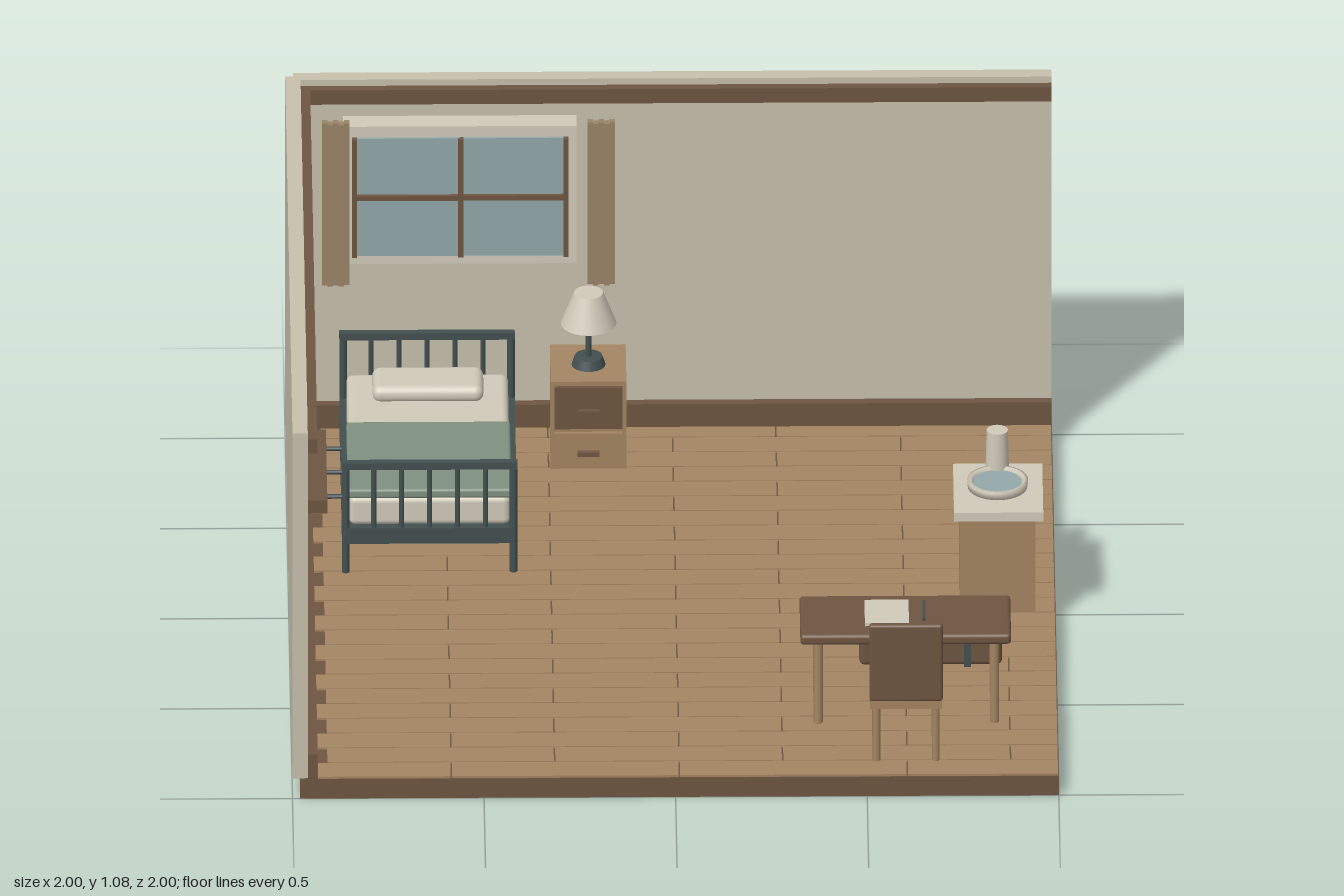
import * as THREE from 'three';
import { RoundedBoxGeometry } from 'three/addons/geometries/RoundedBoxGeometry.js';

const mat = (color) => new THREE.MeshStandardMaterial({ color });
const WALL = mat(0xc6c0ab), CREAM = mat(0xd0cab9), DARK = mat(0x6e5541), TAN = mat(0xa38562);
const METAL = mat(0x435050), GREEN = mat(0x7f9180), GLASS = mat(0x93a7aa), CURTAIN = mat(0x9a8467);
const FLOOR = 0.063;

function add(parent, name, geometry, material, x = 0, y = 0, z = 0) {
  const mesh = new THREE.Mesh(geometry, material);
  mesh.name = name;
  mesh.position.set(x, y, z);
  parent.add(mesh);
  return mesh;
}

// Box given by its limits on each axis; a radius rounds its edges
function box(parent, name, material, [x0, x1], [y0, y1], [z0, z1], radius = 0) {
  const size = [x1 - x0, y1 - y0, z1 - z0];
  const geometry = radius ? new RoundedBoxGeometry(...size, 3, radius) : new THREE.BoxGeometry(...size);
  return add(parent, name, geometry, material, (x0 + x1) / 2, (y0 + y1) / 2, (z0 + z1) / 2);
}

// Upright round bar between two heights
function post(parent, name, material, x, z, y0, y1, r, rTop = r, sides = 16) {
  return add(parent, name, new THREE.CylinderGeometry(rTop, r, y1 - y0, sides), material, x, (y0 + y1) / 2, z);
}

function group(parent, name) {
  const g = new THREE.Group();
  g.name = name;
  parent.add(g);
  return g;
}

function buildRoom(root) {
  const room = group(root, 'room');
  box(room, 'floorBase', DARK, [-0.98, 1], [0, 0.057], [-0.98, 1]);
  box(room, 'backWall', WALL, [-0.98, 1], [0.06, 1.08], [-1, -0.96]);
  box(room, 'leftWall', WALL, [-1, -0.96], [0.06, 1.08], [-0.98, 1]);
  for (const [name, y] of [['baseboard', [0.057, 0.13]], ['crownRail', [1.02, 1.062]]]) {
    box(room, name, DARK, [-0.96, 1], y, [-0.96, -0.935]);
    box(room, name, DARK, [-0.96, -0.935], y, [-0.96, 1]);
  }
  // Staggered floorboards with narrow gaps
  const rows = 24, pitch = 1.96 / rows, gap = 0.002;
  for (let row = 0; row < rows; row++) {
    const z = -0.96 + row * pitch;
    const start = row % 2 ? -1.18 : -0.91;
    for (let x = start; x < 1; x += 0.595) {
      box(room, 'floorboard', TAN, [Math.max(x, -0.935) + gap, Math.min(x + 0.595, 1) - gap],
        [0.05, FLOOR], [z + gap, z + pitch - gap]);
    }
  }
}

function buildWindow(root) {
  const win = group(root, 'window');
  box(win, 'windowFrame', CREAM, [-0.85, -0.24], [0.567, 0.973], [-0.96, -0.9]);
  box(win, 'windowPane', GLASS, [-0.82, -0.265], [0.594, 0.941], [-0.905, -0.893]);
  for (const x of [-0.82, -0.543, -0.268]) {
    box(win, 'verticalBar', DARK, [x - 0.007, x + 0.007], [0.594, 0.941], [-0.9, -0.883]);
  }
  box(win, 'crossBar', DARK, [-0.82, -0.268], [0.762, 0.776], [-0.9, -0.883]);
  // Pleated curtains
  for (const x0 of [-0.905, -0.212]) {
    for (let i = 0; i < 5; i++) {
      const z = -0.87 + (i % 2) * 0.008;
      box(win, 'curtainPleat', CURTAIN, [x0 + i * 0.0144, x0 + (i + 1) * 0.0144], [0.527, 1.005], [z - 0.008, z + 0.012]);
    }
  }
}

function buildBed(root) {
  const bed = group(root, 'bed');
  for (const z of [-0.86, -0.14]) {
    for (const x of [-0.85, -0.412]) post(bed, 'bedPost', METAL, x, z, FLOOR, 0.385, 0.01);
    box(bed, 'topRail', METAL, [-0.86, -0.402], [0.368, 0.388], [z - 0.01, z + 0.01]);
    box(bed, 'endRail', METAL, [-0.85, -0.412], [0.15, 0.195], [z - 0.01, z + 0.01]);
    for (let i = 1; i <= 5; i++) {
      post(bed, 'spindle', METAL, -0.85 + i * 0.438 / 6, z, 0.19, 0.372, 0.007, 0.007, 10);
    }
  }
  for (const x of [-0.85, -0.412]) {
    box(bed, 'sideRail', METAL, [x - 0.01, x + 0.01], [0.15, 0.195], [-0.86, -0.14]);
  }
  box(bed, 'slatBase', METAL, [-0.84, -0.42], [0.16, 0.19], [-0.85, -0.15]);
  box(bed, 'mattress', CREAM, [-0.842, -0.42], [0.19, 0.275], [-0.845, -0.152], 0.018);
  box(bed, 'blanket', GREEN, [-0.845, -0.417], [0.27, 0.297], [-0.535, -0.153], 0.008);
  box(bed, 'pillow', CREAM, [-0.775, -0.485], [0.268, 0.315], [-0.815, -0.68], 0.022);
}

function buildNightstand(root) {
  const stand = group(root, 'nightstand');
  box(stand, 'nightstandBody', TAN, [-0.31, -0.112], [FLOOR, 0.32], [-0.912, -0.705]);
  for (const [y0, y1, front] of [[0.185, 0.307, DARK], [0.075, 0.172, TAN]]) {
    box(stand, 'drawerFront', front, [-0.3, -0.122], [y0, y1], [-0.71, -0.695]);
    const y = (y0 + y1) / 2 - 0.008;
    box(stand, 'drawerHandle', DARK, [-0.24, -0.182], [y - 0.006, y + 0.006], [-0.697, -0.682]);
  }
  // Table lamp
  const lamp = group(stand, 'lamp');
  post(lamp, 'lampBase', METAL, -0.21, -0.803, 0.318, 0.345, 0.045, 0.036, 24);
  post(lamp, 'lampStem', METAL, -0.21, -0.803, 0.34, 0.45, 0.008);
  post(lamp, 'lampShade', CREAM, -0.21, -0.803, 0.442, 0.532, 0.073, 0.038, 24);
}

function buildCoatRack(root) {
  const rack = group(root, 'coatRack');
  box(rack, 'rackBoard', DARK, [-0.96, -0.905], [0.632, 0.67], [0.21, 0.605]);
  for (const z of [0.27, 0.4, 0.535]) {
    const peg = add(rack, 'peg', new THREE.CylinderGeometry(0.006, 0.006, 0.045, 10), METAL, -0.887, 0.645, z);
    peg.rotation.z = Math.PI / 2;
  }
}

function buildWashstand(root) {
  const wash = group(root, 'washstand');
  box(wash, 'washstandCabinet', TAN, [0.75, 0.948], [FLOOR, 0.34], [-0.145, 0.103]);
  box(wash, 'washstandTop', CREAM, [0.735, 0.968], [0.337, 0.363], [-0.16, 0.113]);
  // Basin with a raised rim
  const profile = [[0.05, 0], [0.078, 0.006], [0.08, 0.026], [0.07, 0.028], [0.063, 0.02], [0.06, 0]];
  const basin = new THREE.LatheGeometry(profile.map(([r, y]) => new THREE.Vector2(r, y)), 32);
  add(wash, 'basin', basin, CREAM, 0.85, 0.362, -0.025);
  post(wash, 'basinWater', GLASS, 0.85, -0.025, 0.362, 0.382, 0.064, 0.064, 32);
  post(wash, 'waterJug', CREAM, 0.85, -0.113, 0.362, 0.488, 0.031, 0.028, 24);
}

function buildTrunk(root) {
  const trunk = group(root, 'trunk');
  box(trunk, 'trunkBody', DARK, [0.485, 0.858], [FLOOR, 0.178], [0.243, 0.4], 0.015);
  for (const x of [0.572, 0.767]) {
    box(trunk, 'trunkStrap', METAL, [x - 0.009, x + 0.009], [FLOOR, 0.183], [0.239, 0.404]);
  }
}

function buildDesk(root) {
  const desk = group(root, 'desk');
  box(desk, 'deskTop', DARK, [0.328, 0.878], [0.303, 0.333], [0.508, 0.735], 0.01);
  for (const x of [0.375, 0.835]) {
    for (const z of [0.54, 0.705]) post(desk, 'deskLeg', TAN, x, z, FLOOR, 0.308, 0.012);
  }
  box(desk, 'paper', CREAM, [0.497, 0.612], [0.332, 0.342], [0.553, 0.683]);
  box(desk, 'pen', METAL, [0.648, 0.656], [0.332, 0.341], [0.555, 0.655]);
}

function buildChair(root) {
  const chair = group(root, 'chair');
  box(chair, 'chairSeat', TAN, [0.508, 0.696], [0.222, 0.246], [0.768, 0.935]);
  box(chair, 'chairBack', DARK, [0.506, 0.698], [0.246, 0.472], [0.92, 0.942], 0.008);
  for (const x of [0.525, 0.68]) {
    for (const z of [0.785, 0.917]) post(chair, 'chairLeg', TAN, x, z, FLOOR, 0.225, 0.01);
  }
}

export function createModel() {
  const root = new THREE.Group();
  root.name = 'bedroom';
  const parts = [buildRoom, buildWindow, buildBed, buildNightstand, buildCoatRack,
    buildWashstand, buildTrunk, buildDesk, buildChair];
  for (const build of parts) build(root);
  return root;
}
